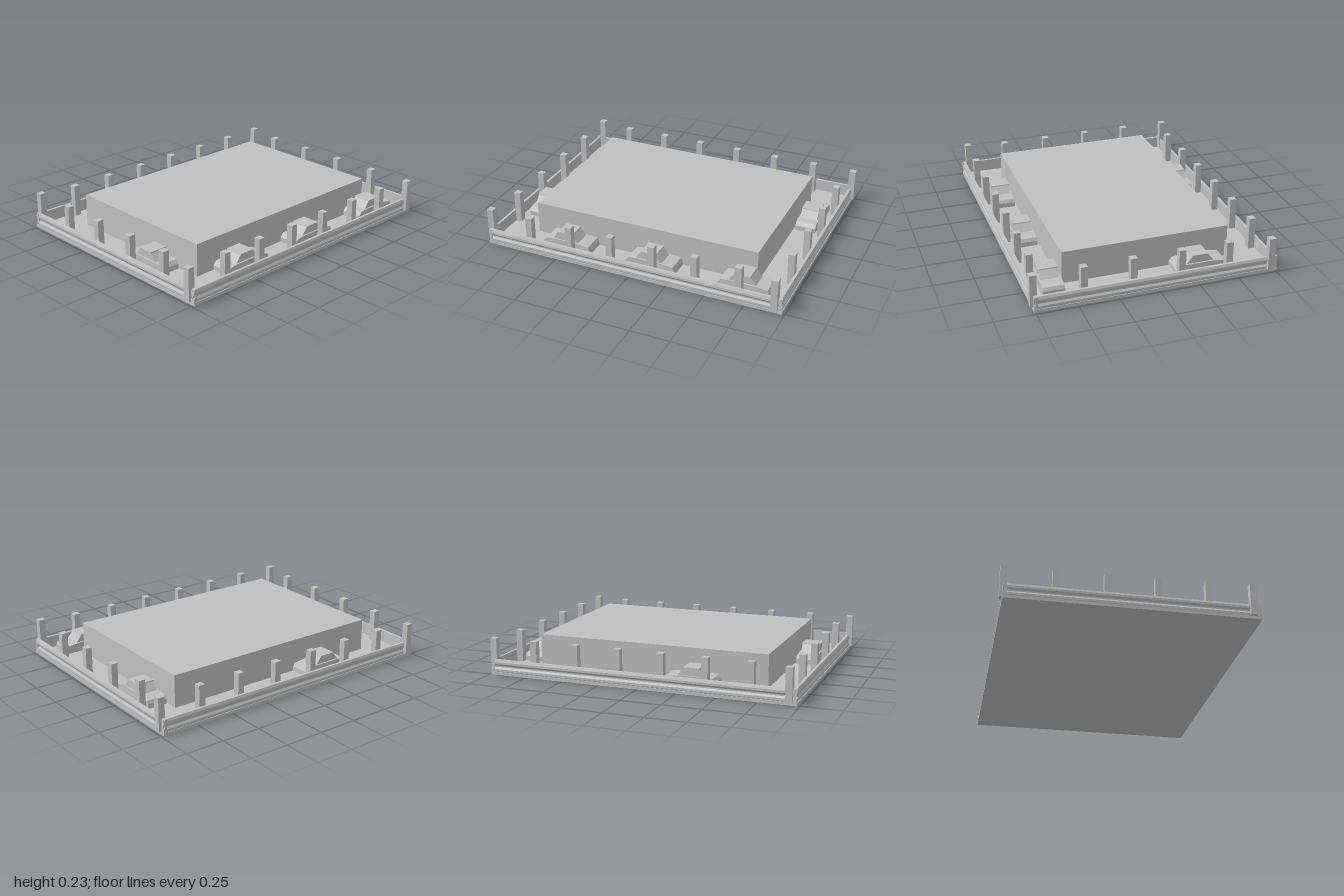
import * as THREE from 'three';

export function createModel() {
  const root = new THREE.Group();
  const grey = new THREE.MeshStandardMaterial({ color: 0xc0c0c0 });
  grey.name = 'concrete grey';

  const add = (parent, name, geometry, x = 0, y = 0, z = 0) => {
    const mesh = new THREE.Mesh(geometry, grey);
    mesh.name = name;
    mesh.position.set(x, y, z);
    parent.add(mesh);
    return mesh;
  };
  const box = (name, w, h, d, x, y, z) =>
    add(root, name, new THREE.BoxGeometry(w, h, d), x, y + h / 2, z);
  // Side outline extruded symmetrically about z = 0
  const extrude = (points, depth) => {
    const shape = new THREE.Shape(points.map(([x, y]) => new THREE.Vector2(x, y)));
    return new THREE.ExtrudeGeometry(shape, { depth, bevelEnabled: false }).translate(0, 0, -depth / 2);
  };

  // Floor slab and central block
  box('floorSlab', 1.97, 0.02, 1.52, 0, 0, 0);
  box('centralBlock', 1.5, 0.208, 1.055, 0, 0.02, 0);

  // Corrugated barrier rails: x is the offset inward (-) from the slab edge
  const railProfile = [
    [-0.024, 0.02], [-0.004, 0.02], [-0.002, 0.025], [-0.002, 0.038], [-0.01, 0.05],
    [-0.01, 0.058], [-0.002, 0.07], [-0.002, 0.083], [-0.008, 0.098], [-0.024, 0.098],
  ];
  [[0.985, 1.516, 0], [0.76, 1.966, -1], [0.985, 1.516, 2], [0.76, 1.966, 1]].forEach(([edge, length, turn]) => {
    const geometry = extrude(railProfile, length).translate(edge, 0, 0);
    add(root, 'barrierRail', geometry).rotation.y = turn * Math.PI / 2;
  });

  // Posts along the four sides
  const post = (name, x, z) => box(name, 0.042, 0.206, 0.042, x, 0.022, z);
  for (const side of [-1, 1]) {
    for (let i = 0; i < 6; i++) post('railPost', (i - 2.5) * 0.28, side * 0.712);
    for (let i = 0; i < 4; i++) post('sideRailPost', side * 0.938, (i - 1.5) * 0.302);
    // Corner posts stand outside the rails
    post('cornerPost', side * 0.979, -side * 0.712);
    post('cornerPost', side * 0.938, side * 0.755);
  }

  // Parked cars, nose towards +x before turning
  const bodyProfile = [
    [-0.163, 0.03], [0.163, 0.03], [0.163, 0.06], [0.152, 0.08], [0.07, 0.09], [-0.09, 0.09], [-0.143, 0.085], [-0.163, 0.06],
  ];
  const cabinProfile = [[-0.098, 0.088], [0.078, 0.088], [0.041, 0.136], [-0.061, 0.136]];
  const roofProfile = [[-0.063, 0.134], [0.043, 0.134], [0.041, 0.141], [-0.061, 0.141]];
  const cars = [
    [-0.469, 0.61, 0], [0.106, 0.61, 0], [0.713, 0.61, 0],
    [-0.305, -0.612, 0], [0.833, -0.303, 1], [-0.835, 0.223, 1],
  ];
  for (const [x, z, turn] of cars) {
    const car = new THREE.Group();
    car.name = 'parkedCar';
    add(car, 'carBody', extrude(bodyProfile, 0.132));
    add(car, 'carCabin', extrude(cabinProfile, 0.112));
    add(car, 'carRoof', extrude(roofProfile, 0.118));
    car.position.set(x, 0, z);
    car.rotation.y = turn * Math.PI / 2;
    root.add(car);
  }
  return root;
}
